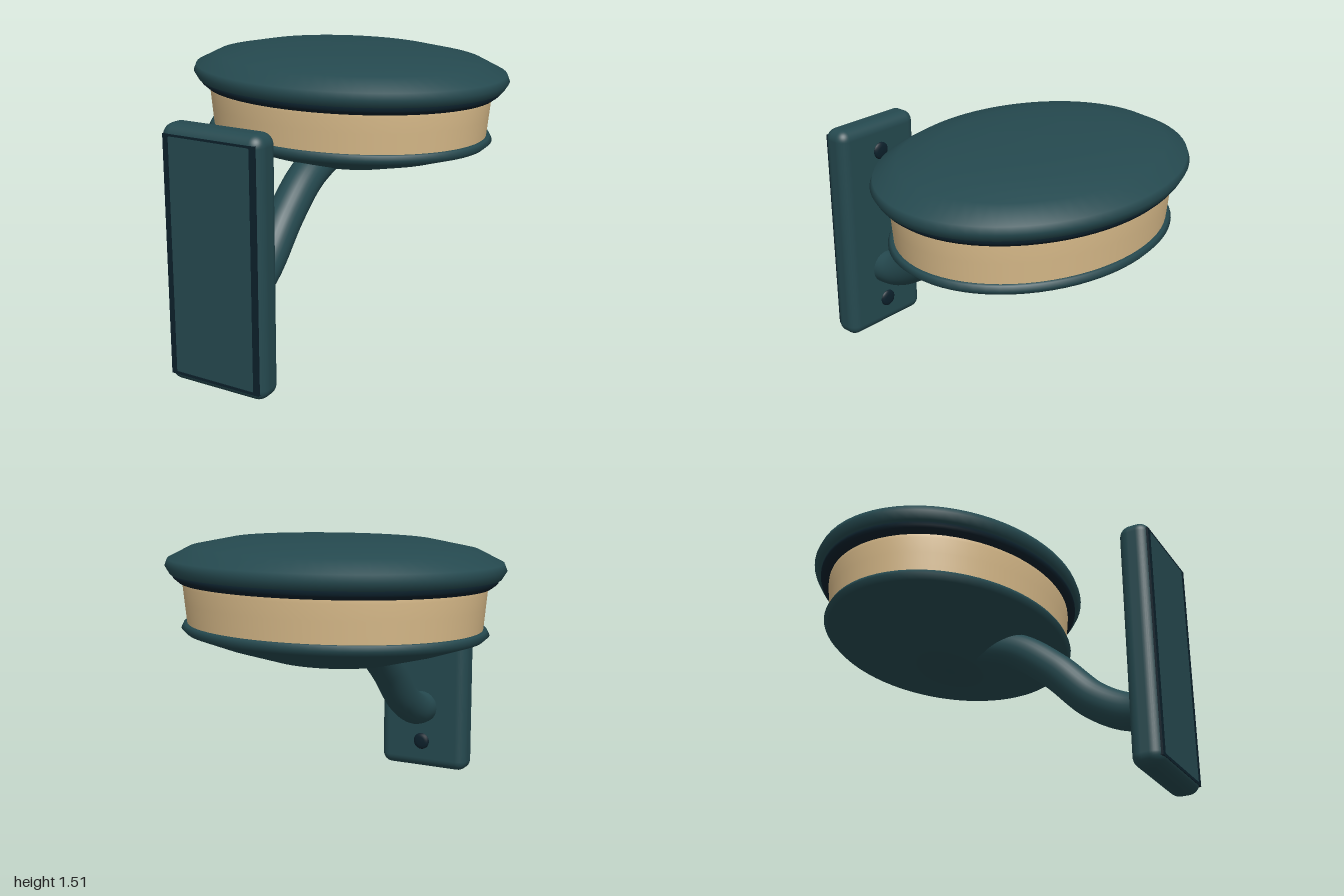
import * as THREE from 'three';
import { RoundedBoxGeometry } from 'three/addons/geometries/RoundedBoxGeometry.js';

const paint = (name, color) => {
  const m = new THREE.MeshStandardMaterial({ color });
  m.name = name;
  return m;
};

export function createModel() {
  const teal = paint('dark teal', 0x25494f);
  const navy = paint('gasket navy', 0x0c202b);
  const sand = paint('warm sand', 0xd9bb8a);

  const model = new THREE.Group();
  model.name = 'wallLamp';

  const add = (name, geometry, material, parent = model) => {
    const mesh = new THREE.Mesh(geometry, material);
    mesh.name = name;
    parent.add(mesh);
    return mesh;
  };

  // Oval lamp head: turned profiles squashed along z
  const head = new THREE.Group();
  head.name = 'lampHead';
  head.position.z = -0.3;
  head.scale.z = 0.778;
  model.add(head);
  const turned = (name, material, profile) => add(name,
    new THREE.LatheGeometry(profile.map(([r, y]) => new THREE.Vector2(r, y)), 72), material, head);

  turned('topCap', teal, [
    [0, 1.31], [0.84, 1.31], [0.875, 1.315], [0.9, 1.355], [0.885, 1.39],
    [0.76, 1.45], [0.54, 1.492], [0.27, 1.506], [0, 1.51],
  ]);
  turned('capGasket', navy, [
    [0, 1.27], [0.825, 1.27], [0.845, 1.285], [0.857, 1.295], [0.857, 1.315], [0, 1.315],
  ]);
  turned('diffuser', sand, [
    [0.785, 1.05], [0.79, 1.1], [0.797, 1.17], [0.805, 1.25], [0.803, 1.275],
  ]);
  turned('lowerDish', teal, [
    [0, 0.857], [0.16, 0.858], [0.34, 0.88], [0.6, 0.948], [0.79, 1.01],
    [0.818, 1.035], [0.805, 1.06], [0.785, 1.062], [0, 1.062],
  ]);

  // Curved arm from the wall plate into the dish
  const path = new THREE.CatmullRomCurve3([
    [0.87, 0.385], [0.74, 0.4], [0.56, 0.5], [0.35, 0.71], [0.14, 0.87], [-0.12, 0.965],
  ].map(([z, y]) => new THREE.Vector3(0, y, z)));
  add('arm', new THREE.TubeGeometry(path, 40, 0.097, 28), teal);

  // Wall plate with a thin gasket around its flat face
  add('wallPlate', new RoundedBoxGeometry(0.56, 1.3, 0.16, 5, 0.06), teal).position.set(0, 0.65, 0.92);
  add('plateGasket', new THREE.BoxGeometry(0.51, 1.215, 0.05), navy).position.set(0, 0.648, 0.9746);

  // Low domed bolts on the lamp side of the plate
  for (const y of [0.17, 1.13]) {
    const profile = [[0.05, 0], [0.05, 0.008], [0.042, 0.016], [0.025, 0.019], [0, 0.02]];
    const bolt = add('plateBolt',
      new THREE.LatheGeometry(profile.map(([r, h]) => new THREE.Vector2(r, h)), 24), navy);
    bolt.rotation.x = -Math.PI / 2;
    bolt.position.set(0, y, 0.842);
  }

  return model;
}
